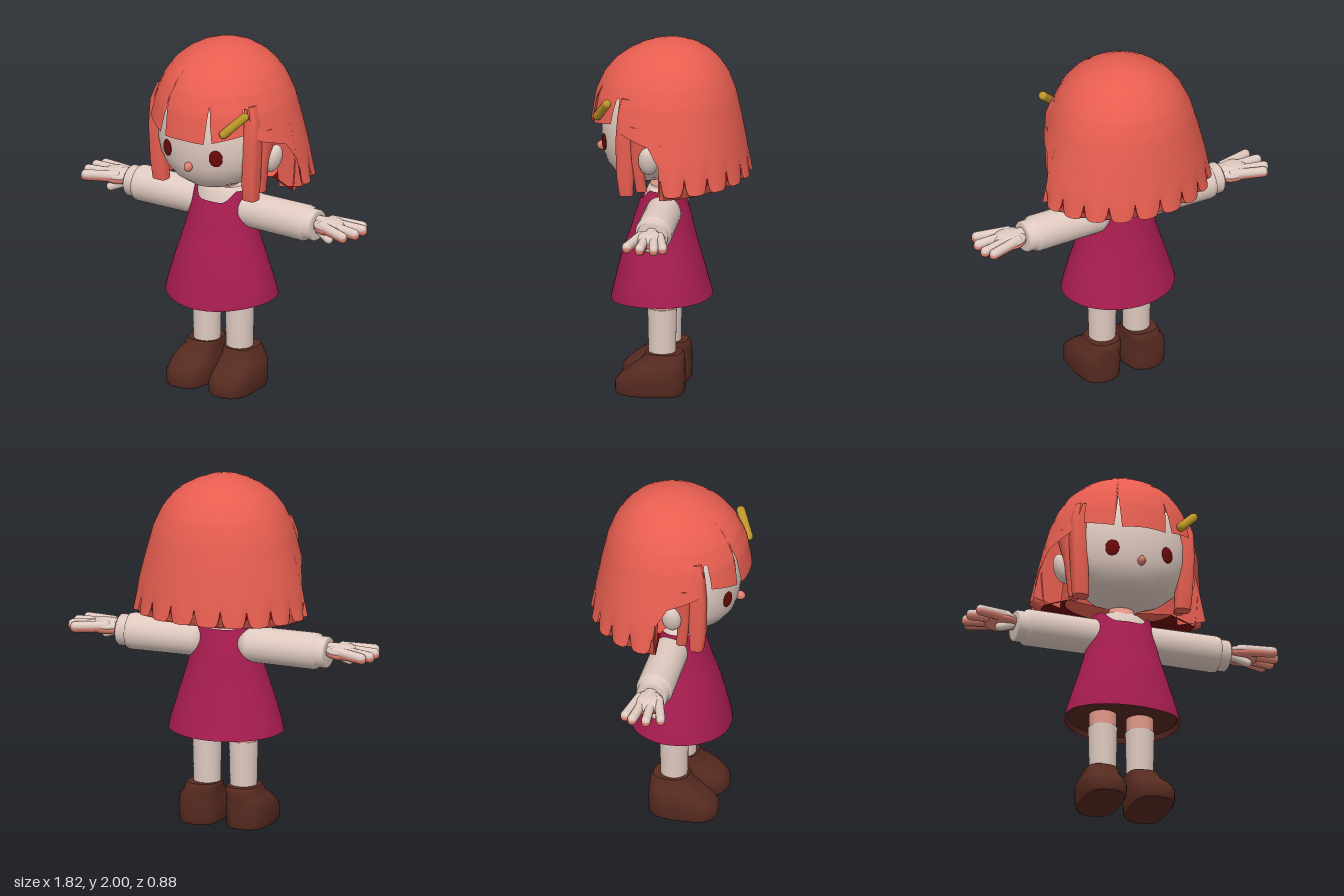
import * as THREE from 'three';

const mat = (name, color, side = THREE.FrontSide) => {
  const m = new THREE.MeshStandardMaterial({ color, side });
  m.name = name;
  return m;
};
const TAU = Math.PI * 2, RAD = Math.PI / 180;

// Grid surface: fn(u, v) -> [x, y, z], u runs round (front to +x), v runs upward
function grid(cols, rows, fn, closed = true) {
  const pos = [], idx = [], n = closed ? cols : cols + 1;
  for (let j = 0; j <= rows; j++)
    for (let i = 0; i < n; i++) pos.push(...fn(i / cols, j / rows));
  for (let j = 0; j < rows; j++)
    for (let i = 0; i < cols; i++) {
      const a = j * n + i, b = j * n + (i + 1) % n;
      idx.push(a, b, b + n, a, b + n, a + n);
    }
  const g = new THREE.BufferGeometry();
  g.setAttribute('position', new THREE.Float32BufferAttribute(pos, 3));
  g.setIndex(idx);
  g.computeVertexNormals();
  return g;
}

// Linear lookup in a table whose first column ascends
function look(table, y) {
  let k = 0;
  while (k < table.length - 2 && y > table[k + 1][0]) k++;
  const a = table[k], b = table[k + 1];
  const t = Math.min(1, Math.max(0, (y - a[0]) / (b[0] - a[0])));
  return a.map((v, i) => v + (b[i] - v) * t);
}

// Stack of rounded sections [y, cx, rx, cz, rz]; p < 1 squares the corners
function loft(sections, p = 1, cols = 32) {
  const s = [...sections], a = s[0], b = s[s.length - 1];
  s.unshift([a[0], a[1], 0, a[3], 0], a);
  s.push(b, [b[0], b[1], 0, b[3], 0]);
  const pw = (v) => Math.sign(v) * Math.pow(Math.abs(v), p);
  return grid(cols, s.length - 1, (u, v) => {
    const [y, cx, rx, cz, rz] = s[Math.round(v * (s.length - 1))];
    return [cx + rx * pw(Math.sin(u * TAU)), y, cz + rz * pw(Math.cos(u * TAU))];
  });
}

export function createModel() {
  const root = new THREE.Group();
  root.name = 'girlFigure';
  const skin = mat('paleSkin', 0xdfcac0), pink = mat('pinkSkin', 0xe3998a);
  const blush = mat('coralSkin', 0xdc8070);
  const hair = mat('coralHair', 0xe75e50, THREE.DoubleSide);
  const dark = mat('darkRed', 0x6a0809, THREE.DoubleSide);
  const cloth = mat('berryDress', 0xa81d50, THREE.DoubleSide);
  const brown = mat('brownLeather', 0x562a20, THREE.DoubleSide);
  const gold = mat('goldClip', 0xbd9628);
  const add = (name, geo, m) => {
    const mesh = new THREE.Mesh(geo, m);
    mesh.name = name;
    root.add(mesh);
    return mesh;
  };
  const ball = (name, m, p, s) => {
    const b = add(name, new THREE.SphereGeometry(1, 24, 16), m);
    b.position.set(...p);
    b.scale.set(...s);
    return b;
  };
  // Rod between two points with rounded ends
  const rod = (name, a, b, r, m) => {
    const A = new THREE.Vector3(...a), B = new THREE.Vector3(...b), d = B.clone().sub(A);
    const c = add(name, new THREE.CapsuleGeometry(r, d.length(), 6, 12), m);
    c.position.copy(A).add(B).multiplyScalar(0.5);
    c.quaternion.setFromUnitVectors(new THREE.Vector3(0, 1, 0), d.normalize());
  };

  // Head, nose and neck
  add('head', loft([[1.205, 0, 0.06, 0.15, 0.06], [1.22, 0, 0.14, 0.14, 0.13], [1.26, 0, 0.225, 0.13, 0.195],
    [1.31, 0, 0.28, 0.125, 0.235], [1.37, 0, 0.315, 0.12, 0.26], [1.45, 0, 0.335, 0.12, 0.27],
    [1.55, 0, 0.335, 0.12, 0.27], [1.65, 0, 0.31, 0.12, 0.25], [1.75, 0, 0.26, 0.11, 0.21],
    [1.85, 0, 0.16, 0.08, 0.12]], 1, 40), skin);
  ball('nose', blush, [0, 1.37, 0.39], [0.022, 0.027, 0.03]);
  const neck = add('neck', new THREE.CylinderGeometry(0.058, 0.1, 0.1, 24), pink);
  neck.position.set(0, 1.185, 0.04);

  // Hair shell: rows of [y, half width, front reach, back reach]
  const shape = [[1.18, 0.515, 0.45, 0.455], [1.25, 0.5, 0.45, 0.44], [1.4, 0.468, 0.45, 0.412],
    [1.55, 0.43, 0.447, 0.385], [1.7, 0.388, 0.423, 0.352], [1.8, 0.342, 0.378, 0.315], [1.87, 0.293, 0.32, 0.268],
    [1.92, 0.235, 0.255, 0.22], [1.96, 0.165, 0.182, 0.16], [1.985, 0.1, 0.12, 0.1],
    [1.996, 0.045, 0.06, 0.05], [2, 0, 0, 0]];
  const at = (deg, y, k = 1) => {
    const [, w, f, b] = look(shape, y), s = Math.sin(deg * RAD), c = Math.cos(deg * RAD);
    return [w * s * k, y, (c > 0 ? f : b) * c * k];
  };
  // Lower edge by angle from the front: fringe, ear cover, tufted back
  const fringe = [[0, 1.545], [17, 1.54], [21, 1.75], [23, 1.55], [47, 1.59], [49, 1.73], [52, 1.73], [54, 1.6],
    [58, 1.55], [80, 1.5], [88, 1.4], [90, 1.24]];
  const tuft = (d) => Math.abs(Math.sin((d - 90) / 18 * Math.PI));
  const edge = (deg) => {
    const d = deg > 180 ? 360 - deg : deg;
    return d < 90 ? look(fringe, d)[1] : 1.235 + 0.015 * (d - 90) / 90 + 0.09 * Math.pow(1 - tuft(d), 4);
  };
  add('hair', grid(360, 30, (u, v) => {
    const deg = u * 360, yb = edge(deg);
    const y = 2 - (2 - yb) * (1 - v) ** 2;
    const low = deg > 90 && deg < 270 ? Math.max(0, (1.38 - y) / 0.14) : 0;
    return at(deg, y, 1 - 0.045 * low * (1 - tuft(deg)));
  }), hair);
  // Underside of the back hair: inward-curling tips, dark ring, floor round the neck
  const rimY = (deg) => 1.2 + 0.035 * Math.max(0, -Math.cos(deg * RAD));
  const under = (name, v0, v1, m, fn) => add(name, grid(90, 3, (u, v) => {
    const deg = 88 + u * 184;
    return fn(deg, v0 + (v1 - v0) * v);
  }, false), m);
  under('hairTips', 0, 1, hair, (deg, v) => {
    const y = edge(deg) + (rimY(deg) - edge(deg)) * v;
    return at(deg, y, 1 - 0.045 * (1 - v) * (1 - tuft(deg)) - 0.14 * v);
  });
  const ring = (deg, v) => at(deg, rimY(deg) + 0.055 * v, 0.86 - 0.26 * v);
  under('hairLining', 0, 1, dark, ring);
  under('hairUnderside', 0, 1, hair, (deg, v) => {
    const [x, y, z] = ring(deg, 1);
    return [x * (1 - v), y + (1.2 - y) * v, z + (0.06 - z) * v];
  });

  for (const s of [1, -1]) {
    const side = s > 0 ? 'left' : 'right';
    // Eyes and ears
    const eye = ball(side + 'Eye', dark, [s * 0.16, 1.44, 0.357], [0.039, 0.048, 0.008]);
    eye.rotation.y = s * 0.41;
    const ear = ball(side + 'Ear', skin, [s * 0.36, 1.4, 0.085], [0.045, 0.085, 0.055]);
    ear.rotation.z = -s * 0.3;

    // Locks beside the face, and the thick front edge of the back hair
    add(side + 'FrontLock', loft([[1.185, s * 0.296, 0.044, 0.215, 0.038], [1.3, s * 0.303, 0.046, 0.22, 0.048],
      [1.5, s * 0.312, 0.046, 0.222, 0.05], [1.65, s * 0.312, 0.042, 0.215, 0.046],
      [1.74, s * 0.29, 0.035, 0.2, 0.04]], 0.6, 24), hair);
    add(side + 'SideLock', loft([[1.21, s * 0.305, 0.03, 0.13, 0.03], [1.4, s * 0.33, 0.035, 0.15, 0.032],
      [1.6, s * 0.36, 0.035, 0.12, 0.07]], 0.8, 20), hair);
    add(side + 'HairEdge', grid(3, 8, (u, v) => {
      const [x, y] = at(90, 1.24 + 0.36 * v, 1 - 0.32 * u);
      return [s * x, y - 0.04 * u * (1 - v), 0.012 * (1 - u)];
    }, false), hair);

    // Sleeve and cuff
    const sleeve = add(side + 'Sleeve', new THREE.LatheGeometry([[0, 0.1], [0.085, 0.1], [0.1, 0.16], [0.103, 0.54],
      [0.098, 0.56], [0.088, 0.565], [0.088, 0.612], [0.08, 0.622], [0, 0.622]]
      .map((p) => new THREE.Vector2(...p)), 28), skin);
    sleeve.rotation.z = -s * Math.PI / 2;
    sleeve.position.set(0, 1.04, 0.03);

    // Hand: pale back, coral palm, four fingers and a thumb
    const palm = (name, m, y, h) => ball(side + name, m, [s * 0.7, y, 0.03], [0.095, h, 0.088]);
    palm('HandBack', skin, 1.063, 0.036);
    palm('Palm', blush, 1.046, 0.036);
    rod(side + 'Wrist', [s * 0.58, 1.058, 0.028], [s * 0.67, 1.06, 0.028], 0.042, skin);
    [[0.85, -0.064, -0.025], [0.88, -0.018, 0.01], [0.88, 0.06, 0.05], [0.85, 0.136, 0.085]].forEach(([x, z, z0], i) => {
      rod(side + 'Finger' + i, [s * 0.68, 1.07, z0], [s * x, 1.058, z], 0.026, skin);
      rod(side + 'FingerPad' + i, [s * 0.68, 1.056, z0], [s * (x + 0.003), 1.047, z], 0.025, blush);
    });
    rod(side + 'Thumb', [s * 0.65, 1.025, 0.06], [s * 0.722, 0.995, 0.078], 0.024, skin);

    // Leg, sock and shoe
    const leg = add(side + 'Thigh', new THREE.CylinderGeometry(0.078, 0.076, 0.3, 28), pink);
    leg.position.set(s * 0.108, 0.6, 0.042);
    const sock = add(side + 'Sock', new THREE.CylinderGeometry(0.081, 0.074, 0.32, 28), skin);
    sock.position.set(s * 0.108, 0.325, 0.042);
    const x = s * 0.14;
    add(side + 'Shoe', loft([[0, x, 0.112, 0.105, 0.183], [0.015, x, 0.122, 0.105, 0.193], [0.07, x, 0.124, 0.103, 0.193],
      [0.1, x, 0.123, 0.09, 0.18], [0.135, x, 0.118, 0.07, 0.158], [0.165, x - s * 0.006, 0.11, 0.05, 0.137],
      [0.19, x - s * 0.015, 0.098, 0.035, 0.121], [0.215, s * 0.12, 0.096, 0.028, 0.112],
      [0.232, s * 0.118, 0.088, 0.03, 0.1]], 0.72, 36), brown);
  }

  // Hair clip
  rod('hairClip', [0.23, 1.61, 0.385], [0.325, 1.71, 0.32], 0.025, gold);

  // Torso, dress with scooped neckline, and dark underside
  add('torso', loft([[0.95, 0, 0.17, 0.05, 0.13], [1.08, 0, 0.16, 0.05, 0.112], [1.13, 0, 0.15, 0.047, 0.098],
    [1.155, 0, 0.135, 0.044, 0.09], [1.17, 0, 0.115, 0.042, 0.08]]), skin);
  const dressRows = [[0.51, 0.325, 0.055, 0.283], [0.54, 0.326, 0.056, 0.278], [0.6, 0.312, 0.058, 0.262],
    [0.7, 0.282, 0.06, 0.237], [0.8, 0.25, 0.06, 0.209], [0.9, 0.22, 0.055, 0.178], [1, 0.195, 0.052, 0.152],
    [1.1, 0.175, 0.05, 0.121], [1.16, 0.165, 0.045, 0.1]];
  const skirt = (height, k) => (u, v) => {
    const s = Math.sin(u * TAU), c = Math.cos(u * TAU);
    const scoop = THREE.MathUtils.smoothstep(Math.abs(c), 0.6, 0.95);
    const top = 1.16 - (c > 0 ? 0.065 : 0.03) * scoop;
    const hem = 0.51 + 0.03 * s * s + (c < 0 ? 0.025 * c * c : 0);
    const y = hem + (top - hem) * v * height;
    const [, rx, cz, rz] = look(dressRows, y);
    return [rx * s * k, y, cz + rz * c * k];
  };
  add('dress', grid(56, 20, skirt(1, 1)), cloth);
  add('dressLining', grid(56, 3, skirt(0.12, 0.98)), brown);
  add('dressUnderside', loft([[0.565, 0, 0.308, 0.057, 0.262], [0.575, 0, 0.306, 0.057, 0.26]], 1, 56), brown);
  return root;
}
